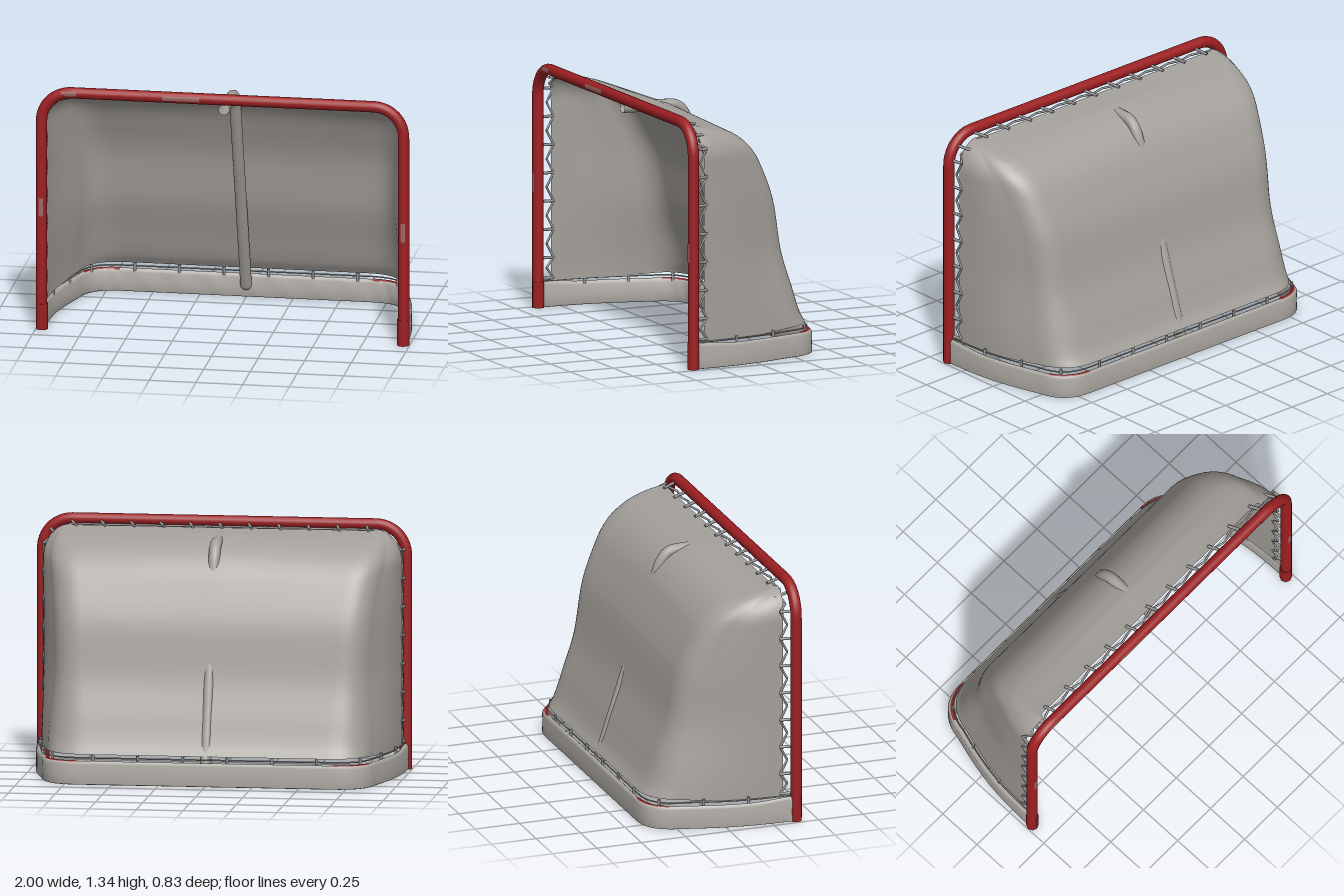
import * as THREE from 'three';

const material = (name, color, side = THREE.FrontSide) =>
  Object.assign(new THREE.MeshStandardMaterial({ color, side }), { name });
const V = (x, y, z) => new THREE.Vector3(x, y, z);
const clamp = (v) => Math.min(1, Math.max(0, v));

// U-shaped plan outline, from the left front end round the back to the right front end
function uPath(width, front, back, inset, radius, bow) {
  const depth = front - back;
  const r = Math.min(radius, depth * 0.45);
  const corner = new THREE.Vector2(width - inset * depth / 0.75, back);
  const start = new THREE.Vector2(width, front);
  const side = corner.clone().lerp(start, r / Math.max(depth, 0.001));
  const turn = new THREE.QuadraticBezierCurve(side, corner, new THREE.Vector2(corner.x - r, back));
  const half = [];
  for (let i = 0; i < 12; i++) {
    const p = start.clone().lerp(side, i / 12);
    p.x += bow * Math.sin(Math.PI * i / 12) * clamp(depth / 0.5);
    half.push(p);
  }
  half.push(...turn.getPoints(10));
  for (let i = 1; i <= 12; i++) half.push(new THREE.Vector2((corner.x - r) * (1 - i / 12), back));
  const mirrored = half.slice(0, -1).reverse().map((p) => new THREE.Vector2(-p.x, p.y));
  return [...half, ...mirrored];
}

// Surface through equal-length rows of points
function loft(rows) {
  const n = rows[0].length, index = [];
  for (let j = 0; j < rows.length - 1; j++) {
    for (let i = 0; i < n - 1; i++) {
      const a = j * n + i, b = a + 1, c = a + n, d = c + 1;
      index.push(a, c, b, b, c, d);
    }
  }
  const geometry = new THREE.BufferGeometry().setFromPoints(rows.flat());
  geometry.setIndex(index);
  geometry.computeVertexNormals();
  return geometry;
}

export function createModel() {
  const group = new THREE.Group();
  group.name = 'hockeyGoal';
  const red = material('red paint', 0x9c1f22);
  const grey = material('grey net', 0xa39f9a, THREE.DoubleSide);
  const pale = material('pale skirt fabric', 0xb0aca6, THREE.DoubleSide);
  const cordGrey = material('grey cord', 0x949391);
  const scuffed = material('worn paint', 0x9d6562);

  const add = (name, geometry, mat, parent = group) => {
    const mesh = new THREE.Mesh(geometry, mat);
    mesh.name = name;
    parent.add(mesh);
    return mesh;
  };
  const stick = (name, a, b, r, mat, parent) => {
    const d = b.clone().sub(a);
    const mesh = add(name, new THREE.CylinderGeometry(r, r, d.length(), 8), mat, parent);
    mesh.position.copy(a).addScaledVector(d, 0.5);
    mesh.quaternion.setFromUnitVectors(V(0, 1, 0), d.normalize());
  };

  // Front frame: two posts and a crossbar with rounded corners
  const fx = 0.97, fy = 1.31, fz = 0.384, cr = 0.16;
  const arc = (cx, from, to) => Array.from({ length: 13 }, (_, i) => {
    const a = from + (to - from) * i / 12;
    return V(cx + cr * Math.cos(a), fy - cr + cr * Math.sin(a), fz);
  });
  const outline = [V(fx, 0.02, fz), ...arc(fx - cr, 0, Math.PI / 2),
    ...arc(cr - fx, Math.PI / 2, Math.PI), V(-fx, 0.02, fz)];
  const framePath = new THREE.CurvePath();
  for (let i = 1; i < outline.length; i++) framePath.add(new THREE.LineCurve3(outline[i - 1], outline[i]));
  add('frontFrame', new THREE.TubeGeometry(framePath, 200, 0.03, 16), red);
  for (const s of [1, -1]) {
    stick('postSleeve', V(s * 0.967, 0.005, fz), V(s * 0.967, 0.147, fz), 0.033, red);
  }

  // Worn patches on the frame, as thin partial shells
  const scuff = (x, y, length, turned) => {
    const g = new THREE.CylinderGeometry(0.0306, 0.0306, length, 6, 1, true, -0.4, 0.8);
    const m = add('wornPatch', g, scuffed);
    m.position.set(x, y, fz);
    if (turned) m.rotation.z = Math.PI / 2;
  };
  scuff(-0.22, fy, 0.2, true);
  scuff(-0.82, fy, 0.08, true);
  scuff(-fx, 0.68, 0.1, false);
  scuff(fx, 0.63, 0.1, false);

  // Net: U-shaped rows that follow the back profile, flare at the base and close in at the crossbar
  const profile = new THREE.CatmullRomCurve3([
    [0.145, -0.39], [0.2, -0.36], [0.35, -0.312], [0.55, -0.245], [0.84, -0.19], [1, -0.125],
    [1.1, -0.07], [1.175, 0], [1.22, 0.07], [1.25, 0.16], [1.27, 0.25], [1.285, 0.312],
  ].map(([y, z]) => V(0, y, z))).getPoints(66);
  const netRows = profile.map(({ y, z }) => {
    const k = clamp((y - 1.12) / 0.166);
    const width = 0.815 + 0.14 * Math.sqrt(1 - k * k);
    const rise = clamp((y - 0.15) / 0.5);
    const blend = rise * rise * (3 - 2 * rise);
    const outlineAtY = uPath(width, 0.315 + 0.018 * k, z, 0.13 + 0.075 * blend, 0.19 - 0.06 * blend, 0.02);
    return outlineAtY.map((p) => {
      const tent = 0.022 * clamp(1 - Math.abs(p.x) / 0.8) * clamp((0.31 - z) / 0.15) * clamp((y - 0.9) / 0.25);
      const hem = 0.018 * clamp((0.3 - y) / 0.15) * clamp((0 - p.y) / 0.3);
      return V(p.x, y + tent + hem, p.y);
    });
  });
  add('net', loft(netRows), grey);

  // Base skirt: a padded band wrapped round a floor pipe
  const skirtPath = (inset) => uPath(0.984 - inset, 0.36, -0.412 + inset, 0.12, 0.17, 0.026);
  const skirtSection = [[0.009, 0.004], [0, 0.008], [0.001, 0.06], [0, 0.112], [0.006, 0.126], [0.014, 0.13],
    [0.024, 0.125], [0.03, 0.11], [0.034, 0.06], [0.031, 0.012], [0.022, 0.004]];
  const skirtRows = skirtSection.map(([inset, y], row) => skirtPath(inset).map((p, i) => {
    const rise = y > 0.1 ? 0.015 * clamp((p.y - 0.15) / 0.2) : 0;
    const wrinkle = row > 6 && row < 9 ? 0.004 * Math.sin(i * 1.9) : 0;
    return V(p.x, y + rise, p.y + wrinkle);
  }));
  add('baseSkirt', loft(skirtRows), pale);

  // Red pipes that show under the skirt and at its upper back corners
  const plan = (inset, y, keep = () => true) => new THREE.CatmullRomCurve3(
    skirtPath(inset).filter(keep).map((p) => V(p.x, y, p.y)));
  add('floorPipe', new THREE.TubeGeometry(plan(0.0155, 0.0135), 120, 0.0105, 8), red);
  for (const s of [1, -1]) {
    const corner = plan(0.016, 0.122, (p) => p.x * s > 0.66 && p.y < -0.27);
    add('cornerPipe', new THREE.TubeGeometry(corner, 30, 0.0105, 8), red);
  }

  // Centre brace: back from the crossbar, then down to the floor pipe
  const brace = new THREE.CurvePath();
  const b0 = V(0, 1.245, 0.345), b1 = V(0, 1.238, 0.06), b2 = V(0, 1.15, -0.03), b3 = V(0, 0.075, -0.378);
  brace.add(new THREE.LineCurve3(b0, b1));
  brace.add(new THREE.QuadraticBezierCurve3(b1, V(0, 1.235, 0), b2));
  brace.add(new THREE.LineCurve3(b2, b3));
  add('centreBrace', new THREE.TubeGeometry(brace, 90, 0.031, 14), grey);
  add('braceFoot', new THREE.SphereGeometry(0.031, 14, 10), grey).position.copy(b3);

  // Lacing between net and frame: zigzag cord with a tie at each anchor
  const lacing = new THREE.Group();
  lacing.name = 'frontLacing';
  group.add(lacing);
  const halfAnchors = [[0.955, 0.16]];
  for (let i = 0; i < 7; i++) halfAnchors.push([0.955, 0.27 + i * 0.152]);
  halfAnchors.push([0.895, 1.245]);
  for (let i = 5; i >= 1; i--) halfAnchors.push([i * 0.156, 1.287]);
  const anchors = [...halfAnchors, [0, 1.287],
    ...halfAnchors.slice().reverse().map(([x, y]) => [-x, y])];
  const cordPoints = anchors.map(([x, y]) => V(x, y, y > 1.2 ? 0.322 : 0.3));
  cordPoints.forEach((a, i) => {
    const top = a.y > 1.2;
    stick('tie', V(a.x, a.y, top ? 0.29 : 0.3),
      V(a.x * 1.008 + (top ? 0.025 : 0), a.y + (top ? 0.012 : 0), 0.365), 0.008, cordGrey, lacing);
    if (i === cordPoints.length - 1) return;
    const b = cordPoints[i + 1];
    const mid = a.clone().lerp(b, 0.5).setZ(0.34);
    stick('cord', a, mid, 0.006, cordGrey, lacing);
    stick('cord', mid, b, 0.006, cordGrey, lacing);
  });

  // Lacing between net and skirt
  const hem = plan(0.022, 0.146);
  add('hemCord', new THREE.TubeGeometry(hem, 120, 0.004, 6), cordGrey);
  for (let i = 1; i < 13; i++) {
    const p = hem.getPointAt(i / 13);
    stick('hemTie', p.clone().setY(0.115), p.clone().setY(0.162), 0.008, cordGrey);
  }
  return group;
}
